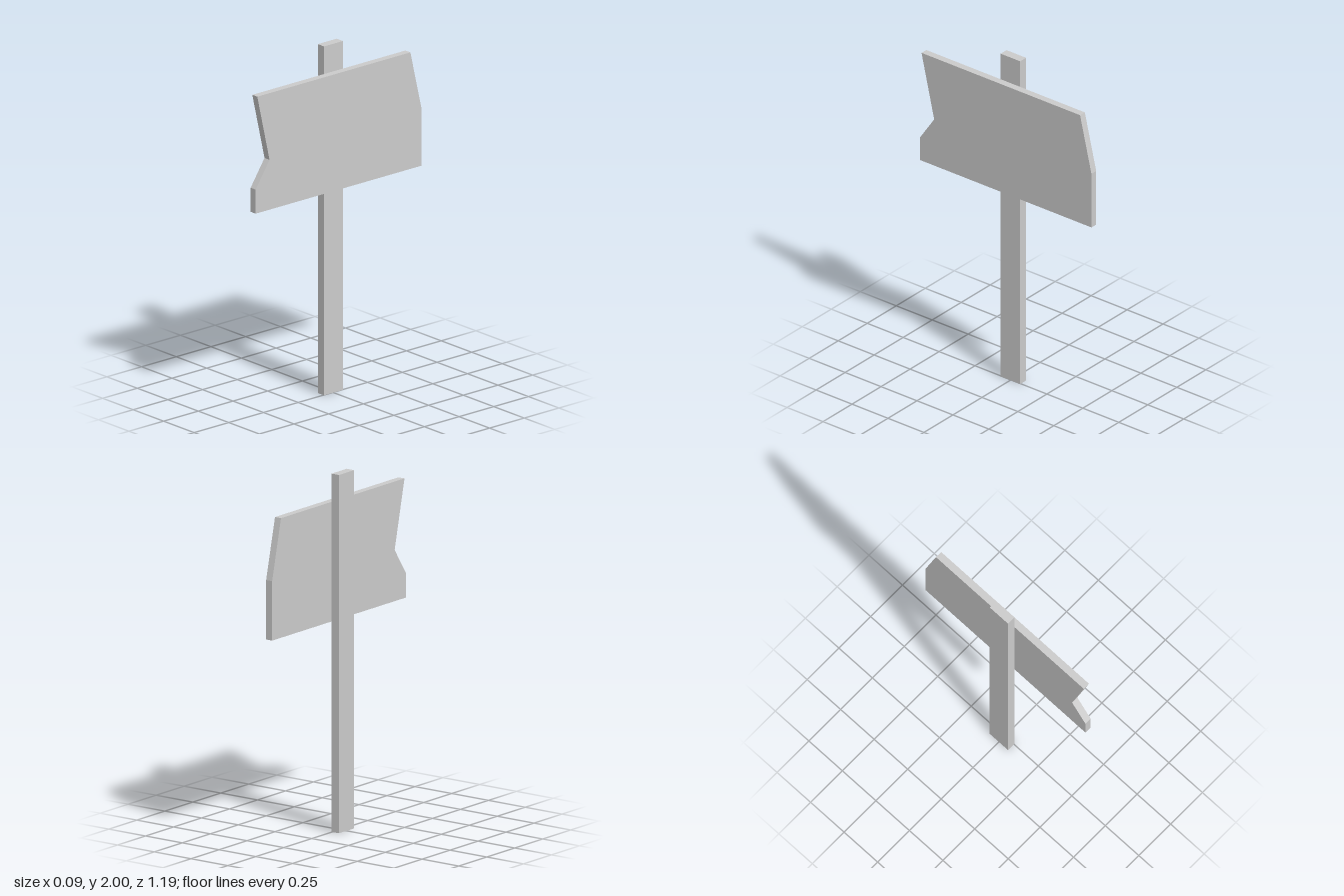
import * as THREE from 'three';

export function createModel() {
  const model = new THREE.Group();
  const material = new THREE.MeshStandardMaterial({ color: 0xcccccc, flatShading: true });

  // Upright post
  const post = new THREE.Mesh(new THREE.BoxGeometry(0.051, 2, 0.136), material);
  post.name = 'post';
  post.position.set(-0.021, 1, 0);
  model.add(post);

  // Board outline as [-z, y], with a notch broken out of the front edge
  const outline = [
    [-0.597, 1.174], [0.597, 1.174], [0.597, 1.506], [0.518, 1.842],
    [-0.585, 1.842], [-0.497, 1.46], [-0.597, 1.312],
  ];
  const shape = new THREE.Shape(outline.map(([u, y]) => new THREE.Vector2(u, y)));
  const boardGeometry = new THREE.ExtrudeGeometry(shape, { depth: 0.041, bevelEnabled: false });
  boardGeometry.rotateY(Math.PI / 2);

  // Sign board fixed to the +x side of the post
  const board = new THREE.Mesh(boardGeometry, material);
  board.name = 'signBoard';
  board.position.x = 0.005;
  model.add(board);

  return model;
}
